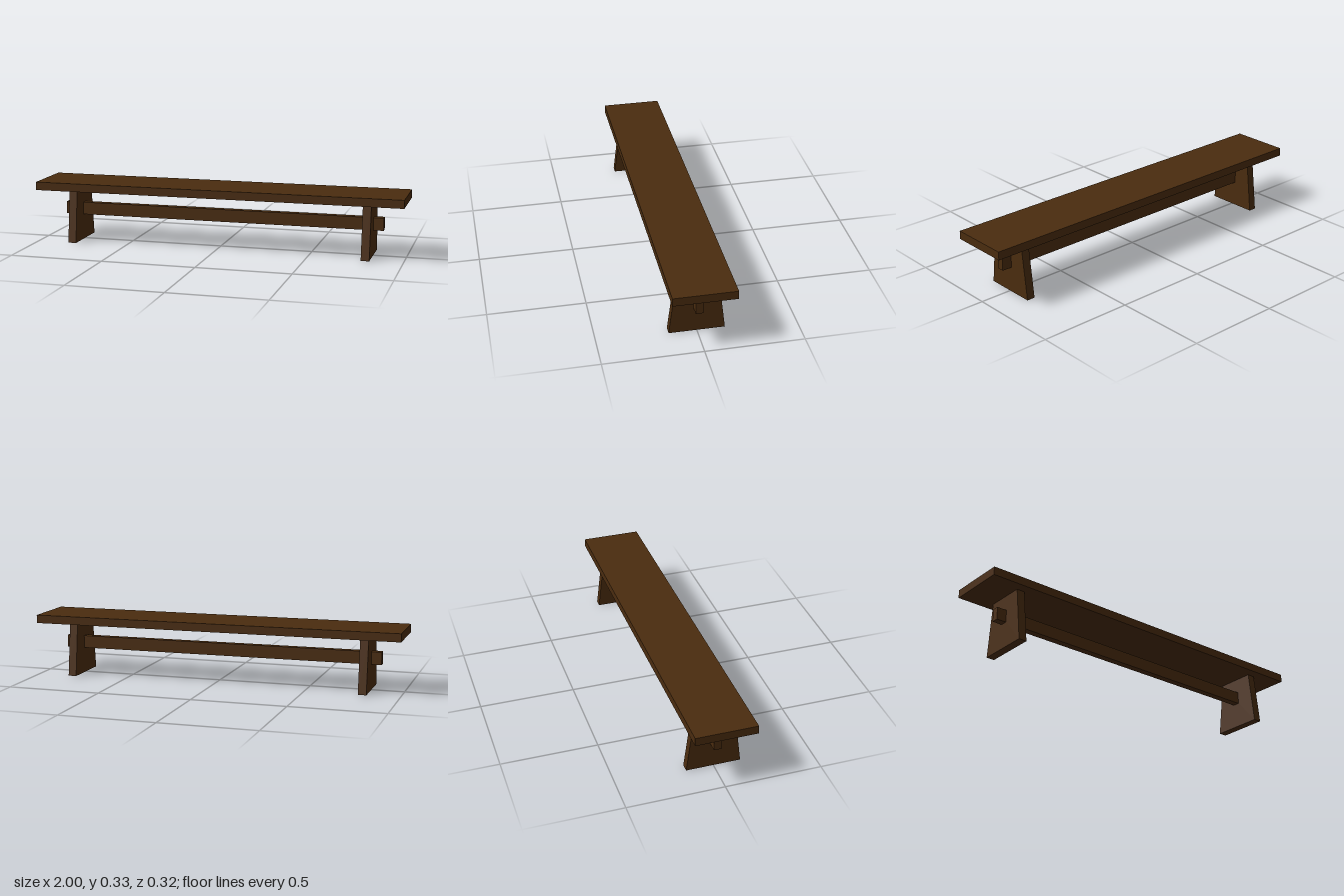
import * as THREE from 'three';

export function createModel() {
  const bench = new THREE.Group();
  bench.name = 'bench';

  const wood = new THREE.MeshStandardMaterial({ color: 0x4a2c0f });
  wood.name = 'dark wood';

  const add = (name, geometry, x, y) => {
    const mesh = new THREE.Mesh(geometry, wood);
    mesh.name = name;
    mesh.position.set(x, y, 0);
    bench.add(mesh);
  };

  // Seat plank and the long stretcher that passes through both legs
  add('seat', new THREE.BoxGeometry(2, 0.044, 0.318), 0, 0.309);
  add('stretcher', new THREE.BoxGeometry(1.76, 0.067, 0.038), 0, 0.171);

  // Tapered slab legs, wider at the floor
  const legThickness = 0.044;
  const profile = new THREE.Shape([
    new THREE.Vector2(-0.141, 0),
    new THREE.Vector2(0.141, 0),
    new THREE.Vector2(0.106, 0.287),
    new THREE.Vector2(-0.106, 0.287),
  ]);
  const leg = new THREE.ExtrudeGeometry(profile, { depth: legThickness, bevelEnabled: false });
  leg.translate(0, 0, -legThickness / 2).rotateY(Math.PI / 2);
  add('leftLeg', leg, 0.804, 0);
  add('rightLeg', leg, -0.804, 0);

  return bench;
}
